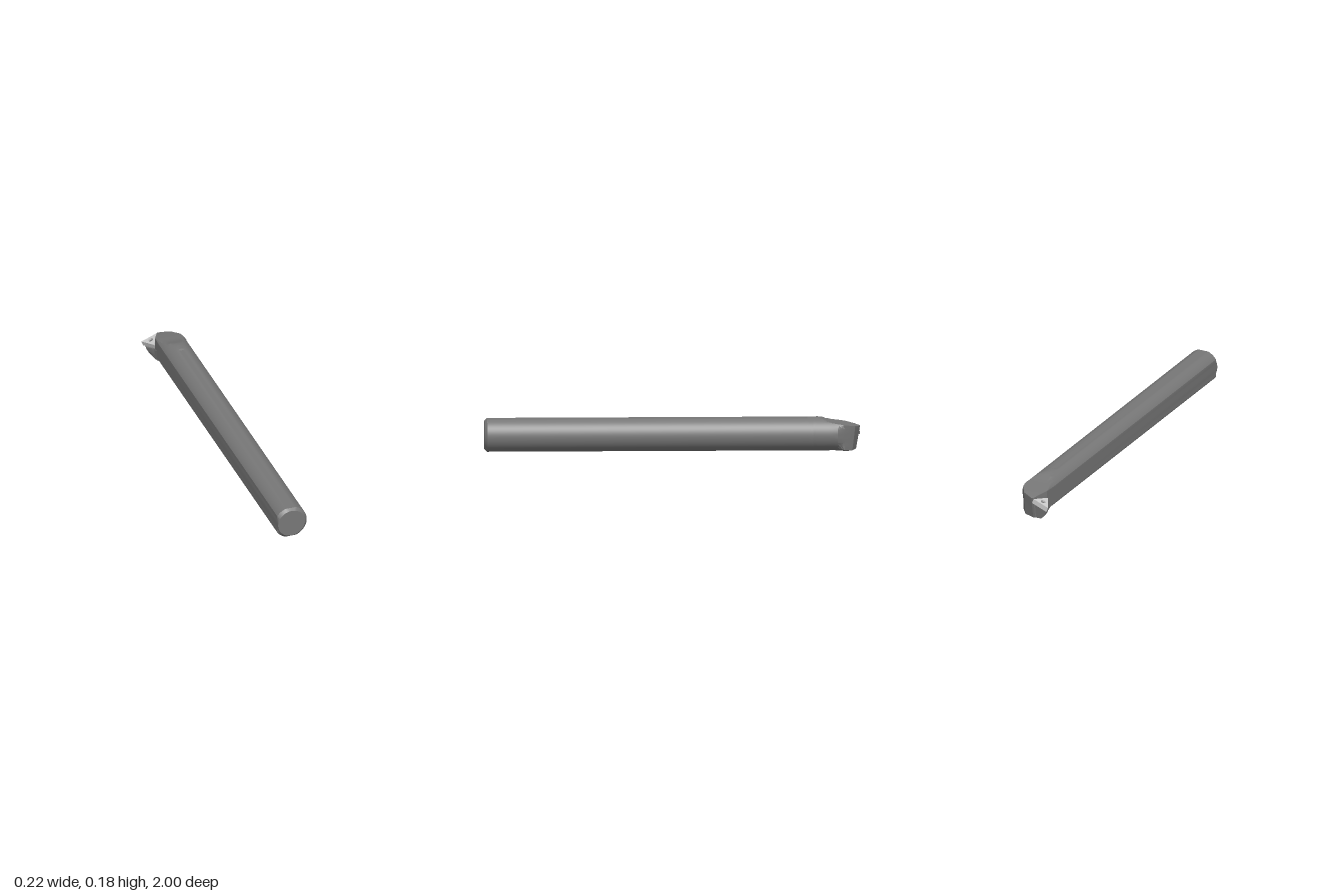
import * as THREE from 'three';
import { toCreasedNormals } from 'three/addons/utils/BufferGeometryUtils.js';

const CX = 0.016, CY = 0.0865, R = 0.091, SEG = 96;
const { clamp } = THREE.MathUtils;

// Round section trimmed by flats; lean pushes the lower edge towards +z.
function section({ z, r = R, xl = -0.06, xr = 0.108, yb = 0, yt = 0.18, tilt = 0, lean = 0 }) {
  const points = [];
  for (let j = 0; j < SEG; j++) {
    const a = (j / SEG) * Math.PI * 2;
    const x = clamp(CX + r * Math.cos(a), xl, xr);
    const y = clamp(CY + r * Math.sin(a), yb, yt + tilt * (x + 0.06));
    points.push([x, y, z + lean * Math.max(0, 0.122 - y)]);
  }
  return points;
}

// Closed loft through sections ordered from +z to -z.
function loft(stations) {
  const rings = stations.map(section);
  const positions = [], index = [];
  rings.forEach((ring) => ring.forEach((p) => positions.push(...p)));
  for (let i = 0; i < rings.length - 1; i++) {
    for (let j = 0; j < SEG; j++) {
      const a = i * SEG + j, b = i * SEG + ((j + 1) % SEG);
      index.push(a, a + SEG, b, b, a + SEG, b + SEG);
    }
  }
  [0, rings.length - 1].forEach((i) => {
    const centre = positions.length / 3;
    for (let k = 0; k < 3; k++) positions.push(rings[i].reduce((s, p) => s + p[k], 0) / SEG);
    for (let j = 0; j < SEG; j++) {
      const a = i * SEG + j, b = i * SEG + ((j + 1) % SEG);
      index.push(centre, ...(i === 0 ? [a, b] : [b, a]));
    }
  });
  const geometry = new THREE.BufferGeometry();
  geometry.setAttribute('position', new THREE.Float32BufferAttribute(positions, 3));
  geometry.setIndex(index);
  // Enlarged while creasing so that close vertices stay distinct
  geometry.scale(100, 100, 100);
  return toCreasedNormals(geometry, 0.35).scale(0.01, 0.01, 0.01);
}

export function createModel() {
  const group = new THREE.Group();
  const steel = new THREE.MeshStandardMaterial({ color: 0x777777 });
  const carbide = new THREE.MeshStandardMaterial({ color: 0xcccccc });
  const add = (name, geometry, material, parent = group) => {
    const mesh = new THREE.Mesh(geometry, material);
    mesh.name = name;
    parent.add(mesh);
    return mesh;
  };

  // Shank with side, top and bottom flats and a chamfered end
  add('shank', loft([
    { z: 1, r: 0.076 },
    { z: 0.985, yt: 0.173 },
    { z: -0.71, yt: 0.173 },
    { z: -0.72 },
    { z: -0.75 },
  ]), steel);

  // Head: sloping top, slanted flank and pocket wall
  add('head', loft([
    { z: -0.75 },
    { z: -0.775, yt: 0.1775 },
    { z: -0.80, yt: 0.17 },
    { z: -0.83, yt: 0.158 },
    { z: -0.86, yt: 0.151 },
    { z: -0.88, yt: 0.148, r: 0.093 },
    { z: -0.92, yt: 0.141, r: 0.105, xr: 0.083, lean: 0.03 },
    { z: -0.972, yt: 0.131, r: 0.11, xl: -0.034, xr: 0.05, lean: 0.12 },
    { z: -0.994, yt: 0.125, r: 0.11, xl: -0.023, xr: 0.005, lean: 0.17 },
    { z: -0.999, yt: 0.122, r: 0.11, xl: -0.02, xr: -0.008, lean: 0.17 },
  ]), steel);

  // Seat below the insert
  const seat = { yt: 0.0755, tilt: 0.385, xr: 0.0 };
  add('insertSeat', loft([
    { ...seat, z: -0.89, r: 0.095 },
    { ...seat, z: -0.925, r: 0.106, xl: -0.062, lean: 0.03 },
    { ...seat, z: -0.985, r: 0.11, xl: -0.095, lean: 0.16 },
    { ...seat, z: -0.994, r: 0.11, xl: -0.094, lean: 0.17 },
  ]), steel);

  // Tilted triangular cutting insert with a screw in its hole
  const insert = new THREE.Group();
  insert.name = 'insert';
  insert.position.set(-0.099, 0.06, 0);
  insert.rotation.z = 0.37;
  group.add(insert);

  const triangle = new THREE.Shape();
  triangle.moveTo(0, 1);
  triangle.lineTo(0.047, 0.918);
  triangle.lineTo(0.093, 1);
  triangle.closePath();
  const hole = new THREE.Path();
  hole.absarc(0.0467, 0.973, 0.013, 0, Math.PI * 2, true);
  triangle.holes.push(hole);
  const plate = new THREE.ExtrudeGeometry(triangle, { depth: 0.027, bevelEnabled: false, curveSegments: 24 });
  add('insertPlate', plate.rotateX(-Math.PI / 2), carbide, insert);
  const screw = add('insertScrew', new THREE.CylinderGeometry(0.013, 0.013, 0.016, 24), steel, insert);
  screw.position.set(0.0467, 0.009, -0.973);

  return group;
}
